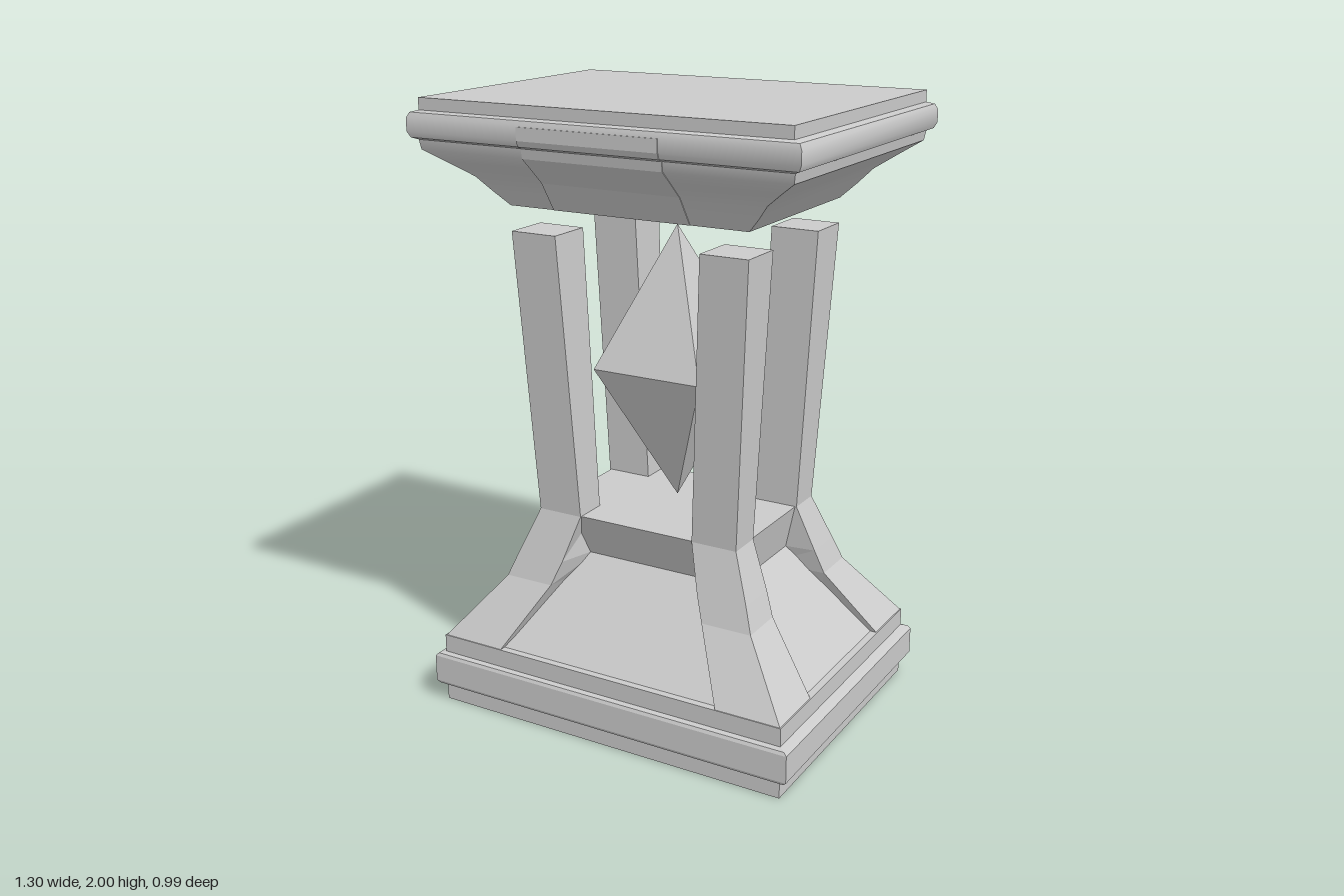
import * as THREE from 'three';
import { toCreasedNormals } from 'three/addons/utils/BufferGeometryUtils.js';

// Closed solid through horizontal cross-sections: rings = [[y, [[x, z], ...]], ...]
function loft(rings) {
  const pos = [];
  const point = (i, j) => {
    const [y, pts] = rings[i];
    const [x, z] = pts[j % pts.length];
    return [x, y, z];
  };
  const quad = (a, b, c, d) => pos.push(...a, ...b, ...c, ...a, ...c, ...d);
  const last = rings.length - 1;
  for (let i = 0; i < last; i++) {
    for (let j = 0; j < 4; j++) {
      quad(point(i, j), point(i, j + 1), point(i + 1, j + 1), point(i + 1, j));
    }
  }
  quad(point(0, 3), point(0, 2), point(0, 1), point(0, 0));
  quad(point(last, 0), point(last, 1), point(last, 2), point(last, 3));
  const geometry = new THREE.BufferGeometry();
  geometry.setAttribute('position', new THREE.Float32BufferAttribute(pos, 3));
  geometry.computeVertexNormals();
  return geometry;
}

// Rectangular section from half-width and half-depth
const rect = (w, d, cx = 0) => [[cx + w, d], [cx + w, -d], [cx - w, -d], [cx - w, d]];
const rectLoft = (rows) => loft(rows.map(([y, w, d]) => [y, rect(w, d)]));

export function createModel() {
  const model = new THREE.Group();
  model.name = 'pedestal';
  const grey = new THREE.MeshStandardMaterial({ color: 0xcccccc, flatShading: true });
  const smooth = new THREE.MeshStandardMaterial({ color: 0xcccccc });
  const add = (name, geometry, material = grey) => {
    const mesh = new THREE.Mesh(geometry, material);
    mesh.name = name;
    model.add(mesh);
    return mesh;
  };

  // Stepped plinth with a projecting band
  add('plinth', rectLoft([
    [0, 0.62, 0.47], [0.05, 0.62, 0.47], [0.06, 0.64, 0.485], [0.07, 0.65, 0.49],
    [0.16, 0.65, 0.49], [0.17, 0.64, 0.485], [0.175, 0.62, 0.47], [0.235, 0.62, 0.47],
  ]));

  // Sloping core with an overhanging platform between the legs
  add('core', rectLoft([[0.23, 0.6, 0.45], [0.52, 0.32, 0.2], [0.67, 0.355, 0.265]]));

  // Four flared corner legs: y, outer x/z, inner x/z on the outer faces, inmost x/z
  const legRows = [
    [0.23, 0.62, 0.47, 0.4, 0.26, 0.4, 0.26],
    [0.44, 0.45, 0.34, 0.28, 0.19, 0.255, 0.18],
    [0.52, 0.42, 0.315, 0.25, 0.175, 0.2, 0.15],
    [0.67, 0.36, 0.27, 0.205, 0.155, 0.205, 0.155],
    [1.59, 0.41, 0.31, 0.25, 0.155, 0.25, 0.155],
  ];
  for (const [name, sx, sz] of [
    ['frontLeftLeg', 1, 1], ['frontRightLeg', -1, 1],
    ['backLeftLeg', 1, -1], ['backRightLeg', -1, -1],
  ]) {
    add(name, loft(legRows.map(([y, xo, zo, xi, zi, xj, zj]) => {
      const pts = [[xo, zo], [xo, zi], [xj, zj], [xi, zo]].map(([x, z]) => [x * sx, z * sz]);
      return [y, sx * sz < 0 ? pts.reverse() : pts];
    })));
  }

  // Floating double-pyramid crystal
  add('crystal', rectLoft([[0.7, 0, 0], [1.15, 0.19, 0.2], [1.6, 0, 0]]));

  // Floating cap: curved underside, rounded rim, flat top
  const capRows = [
    [1.67, 0.41, 0.31], [1.715, 0.455, 0.34], [1.76, 0.495, 0.37], [1.805, 0.56, 0.42],
    [1.845, 0.62, 0.465], [1.875, 0.625, 0.47], [1.882, 0.643, 0.485], [1.9, 0.652, 0.492],
    [1.94, 0.652, 0.492], [1.957, 0.643, 0.485], [1.963, 0.62, 0.47], [2, 0.62, 0.47],
  ];
  add('cap', toCreasedNormals(rectLoft(capRows), 0.7), smooth);

  // Faceted centre panels set over the cap's front and back
  add('capCentrePanel', loft(capRows.filter(([y]) => y < 1.95)
    .map(([y, , d]) => [y, rect(0.235, d + 0.003, -0.015)])));

  return model;
}
